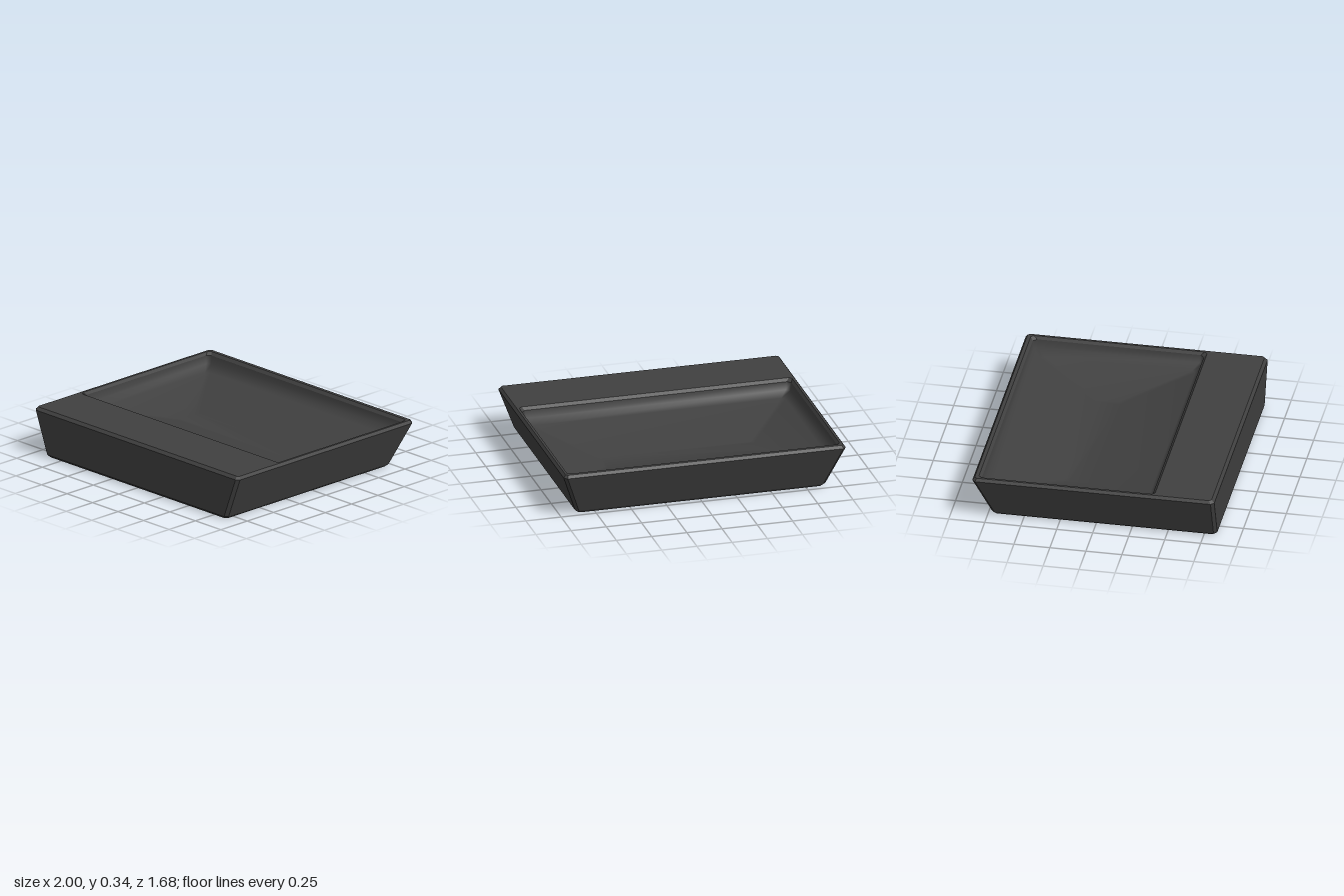
import * as THREE from 'three';

// Chamfered rectangle: half width, back z, front z, height, corner cut
function ring([x, back, front, y, c]) {
  return [
    [x - c, y, front], [x, y, front - c], [x, y, back + c], [x - c, y, back],
    [-x + c, y, back], [-x, y, back + c], [-x, y, front - c], [-x + c, y, front],
  ];
}

// Skin a list of rings; optional flat caps on the first and last
function loft(sections, { capStart = false, capEnd = false, smooth = false } = {}) {
  const rings = sections.map(ring);
  const n = 8, index = [];
  for (let r = 0; r < rings.length - 1; r++) {
    for (let i = 0; i < n; i++) {
      const j = (i + 1) % n, a = r * n, b = a + n;
      index.push(a + i, a + j, b + j, a + i, b + j, b + i);
    }
  }
  const last = (rings.length - 1) * n;
  for (let i = 1; i < n - 1; i++) {
    if (capStart) index.push(0, i + 1, i);
    if (capEnd) index.push(last, last + i, last + i + 1);
  }
  let g = new THREE.BufferGeometry();
  g.setAttribute('position', new THREE.Float32BufferAttribute(rings.flat(2), 3));
  g.setIndex(index);
  if (!smooth) g = g.toNonIndexed();
  g.computeVertexNormals();
  return g;
}

export function createModel() {
  const group = new THREE.Group();
  const charcoal = new THREE.MeshStandardMaterial({ color: 0x404040 });
  charcoal.name = 'charcoal';

  const add = (name, geometry) => {
    const mesh = new THREE.Mesh(geometry, charcoal);
    mesh.name = name;
    group.add(mesh);
  };

  // Tapered body with chamfered edges: upright front, sloping back and sides
  add('body', loft([
    [0.865, -0.705, 0.82, 0, 0.015],
    [0.888, -0.725, 0.84, 0.02, 0.022],
    [1.0, -0.84, 0.84, 0.315, 0.022],
    [0.985, -0.825, 0.82, 0.335, 0.015],
  ], { capStart: true }));

  // Narrow rim on three sides and the broad front deck, with the inner bevel
  add('rimAndDeck', loft([
    [0.985, -0.825, 0.82, 0.335, 0.015],
    [0.968, -0.8, 0.425, 0.335, 0.02],
    [0.955, -0.782, 0.405, 0.315, 0.025],
  ]));

  // Softly shaded hollow: short steep wall, then gentle slopes to a small floor
  add('basin', loft([
    [0.955, -0.782, 0.405, 0.315, 0.025],
    [0.945, -0.772, 0.397, 0.26, 0.025],
    [0.9, -0.72, 0.355, 0.218, 0.025],
    [0.55, -0.27, -0.1, 0.12, 0.02],
  ], { capEnd: true, smooth: true }));

  return group;
}
